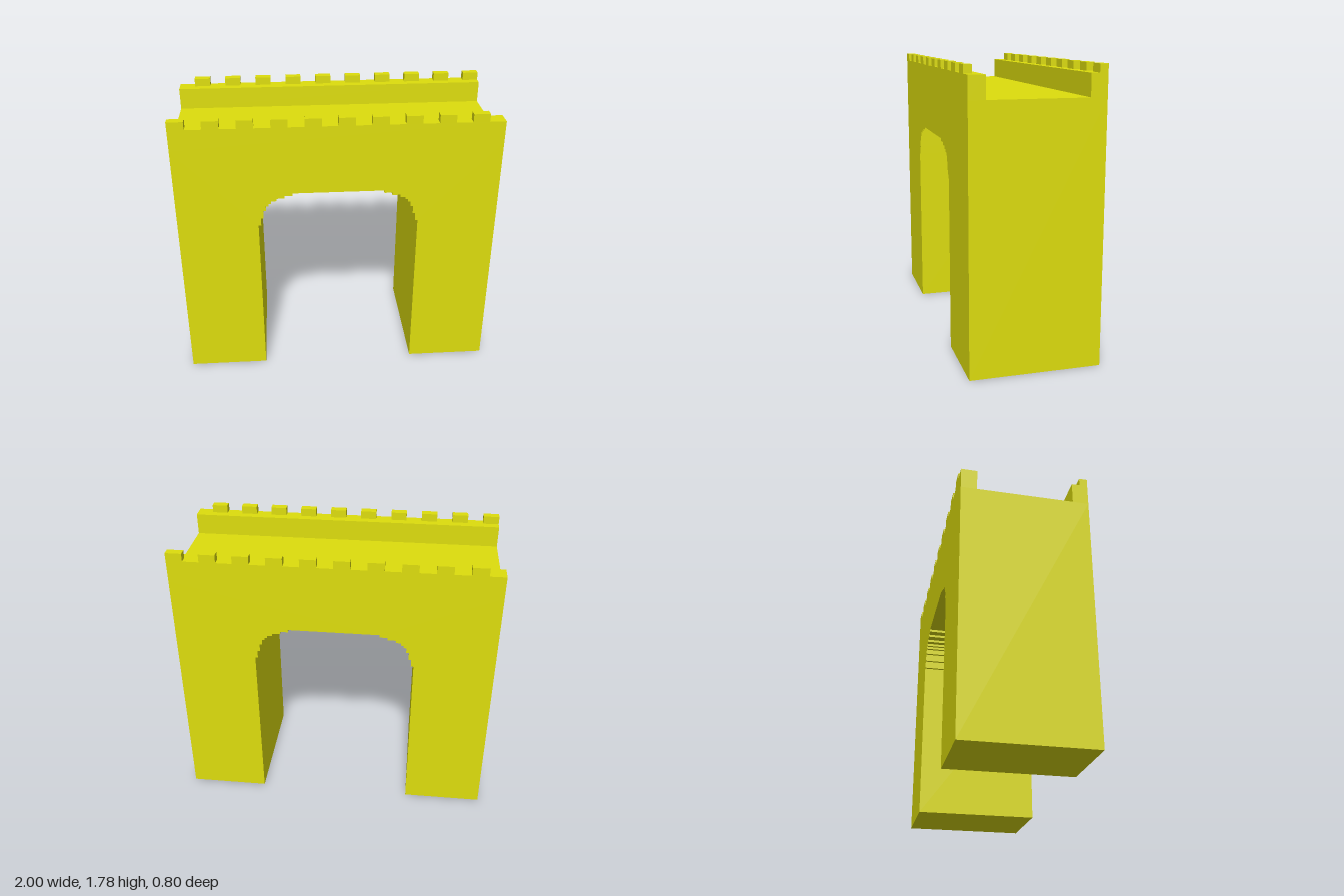
import * as THREE from 'three';

const material = new THREE.MeshStandardMaterial({ color: 0xdddd0d, flatShading: true });

const DECK = 1.6, WALL_TOP = 1.735, TOP = 1.785, HALF_DEPTH = 0.4;

function box(name, x0, x1, y0, y1, z0, z1) {
  const mesh = new THREE.Mesh(new THREE.BoxGeometry(x1 - x0, y1 - y0, z1 - z0), material);
  mesh.position.set((x0 + x1) / 2, (y0 + y1) / 2, (z0 + z1) / 2);
  mesh.name = name;
  return mesh;
}

// Two piers and the deck, with a stepped arch between them
function archBody() {
  // Step distances from the opening's corner, the same read along x and along y
  const steps = [0, 0.0167, 0.0333, 0.05, 0.0667, 0.0833, 0.1167, 0.1667, 0.2167];
  const last = steps.length - 1;
  const half = [[0.5, 0]];
  for (let i = 0; i <= last; i++) {
    const x = 0.5 - steps[i];
    if (i > 0) half.push([x, 1.3 - steps[last - i + 1]]);
    half.push([x, 1.3 - steps[last - i]]);
  }
  const mirrored = half.map(([x, y]) => [-x, y]).reverse();
  const outline = [[-1, 0], [-1, DECK], [1, DECK], [1, 0], ...half, ...mirrored];
  const shape = new THREE.Shape(outline.map(([x, y]) => new THREE.Vector2(x, y)));
  const geometry = new THREE.ExtrudeGeometry(shape, { depth: 2 * HALF_DEPTH, bevelEnabled: false });
  geometry.translate(0, 0, -HALF_DEPTH);
  const mesh = new THREE.Mesh(geometry, material);
  mesh.name = 'archBody';
  return mesh;
}

// Parapet wall with ten merlons flush with its outer face
function battlement(name, firstX) {
  const group = new THREE.Group();
  group.name = name;
  group.add(box('parapet', -1, 1, DECK, WALL_TOP, 0.3, HALF_DEPTH));
  for (let i = 0; i < 10; i++) {
    const x = firstX + i * 0.2;
    group.add(box('merlon', x, x + 0.1, WALL_TOP, TOP, 0.35, HALF_DEPTH));
  }
  return group;
}

export function createModel() {
  const model = new THREE.Group();
  model.name = 'archBridge';
  model.add(archBody());
  model.add(battlement('frontBattlement', -1));
  // Turned half round, so its merlons stand opposite the front gaps
  const back = battlement('backBattlement', -1);
  back.rotation.y = Math.PI;
  model.add(back);
  return model;
}
